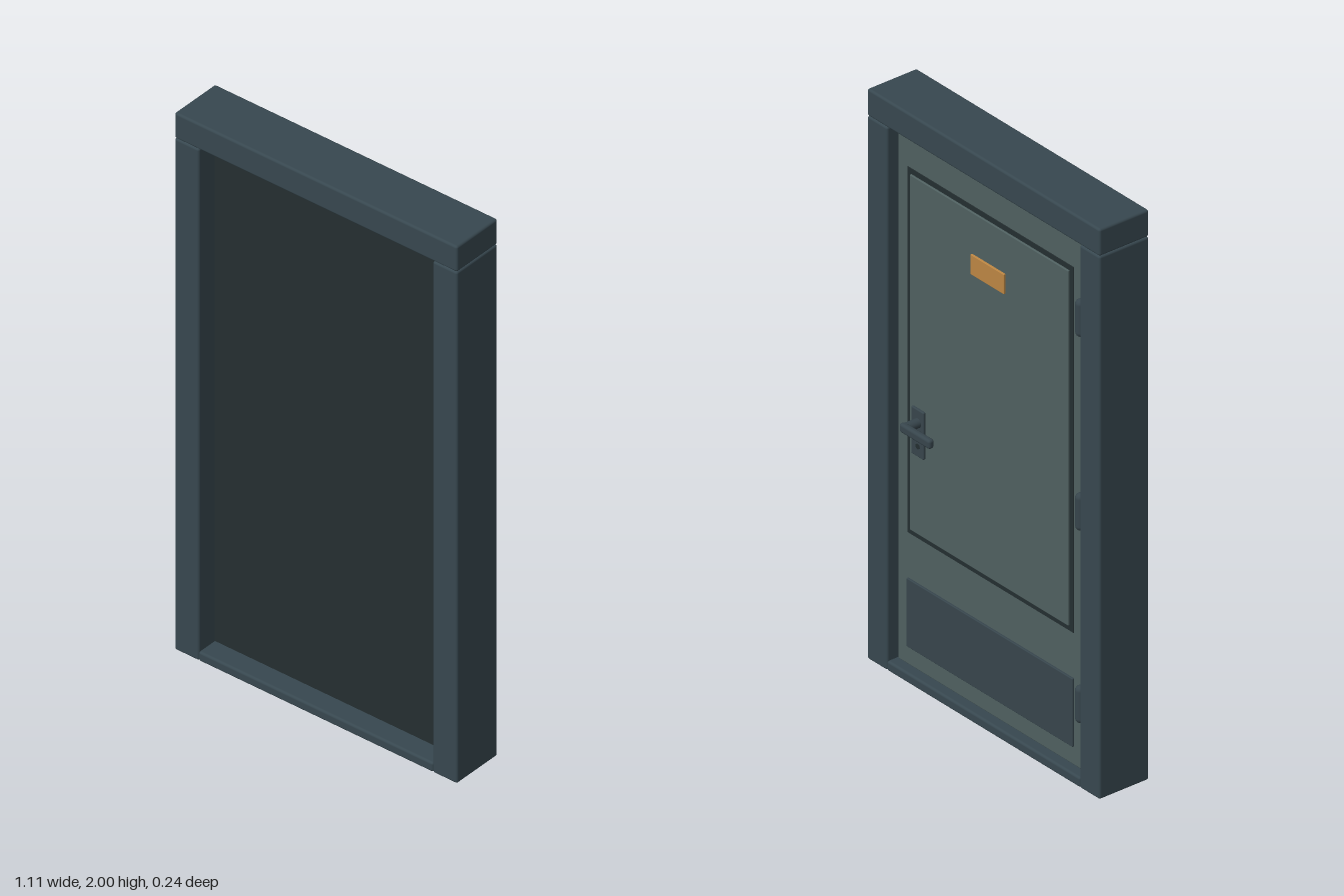
import * as THREE from 'three';
import { RoundedBoxGeometry } from 'three/addons/geometries/RoundedBoxGeometry.js';

const mat = (color) => new THREE.MeshStandardMaterial({ color });

export function createModel() {
  const root = new THREE.Group();
  const frameMat = mat(0x37474f);
  const doorMat = mat(0x4f6060);
  const darkMat = mat(0x242e30);
  const metalMat = mat(0x37454c);
  const brassMat = mat(0xbc8643);

  const add = (name, geometry, material, x = 0, y = 0, z = 0, parent = root) => {
    const mesh = new THREE.Mesh(geometry, material);
    mesh.name = name;
    mesh.position.set(x, y, z);
    parent.add(mesh);
    return mesh;
  };
  // Box given by its extents on each axis, with optional rounded edges
  const block = (name, [x0, x1], [y0, y1], [z0, z1], material, r = 0, parent = root) => {
    const size = [x1 - x0, y1 - y0, z1 - z0];
    const geometry = r ? new RoundedBoxGeometry(...size, 3, r) : new THREE.BoxGeometry(...size);
    return add(name, geometry, material, (x0 + x1) / 2, (y0 + y1) / 2, (z0 + z1) / 2, parent);
  };

  // Frame: two posts, header and sill
  const depth = [-0.075, 0.12];
  block('leftPost', [0.46, 0.556], [0, 1.905], depth, frameMat, 0.008);
  block('rightPost', [-0.556, -0.46], [0, 1.905], depth, frameMat, 0.008);
  block('header', [-0.556, 0.556], [1.905, 2], depth, frameMat, 0.008);
  block('sill', [-0.462, 0.462], [0, 0.035], depth, frameMat, 0.008);

  // Dark backing that closes the opening
  block('backing', [-0.462, 0.462], [0.02, 1.91], [0, 0.045], darkMat);

  // Door leaf, facing -z
  const door = new THREE.Group();
  door.name = 'door';
  root.add(door);
  block('leaf', [-0.445, 0.445], [0.04, 1.892], [-0.044, 0.005], doorMat, 0.004, door);
  block('panelBorder', [-0.397, 0.397], [0.505, 1.787], [-0.047, -0.04], darkMat, 0, door);
  block('raisedPanel', [-0.379, 0.379], [0.523, 1.769], [-0.053, -0.04], doorMat, 0.003, door);
  block('kickPlate', [-0.397, 0.397], [0.105, 0.345], [-0.051, -0.04], metalMat, 0.003, door);
  block('signPlate', [-0.08, 0.08], [1.555, 1.625], [-0.06, -0.05], brassMat, 0.002, door);

  // Hinges along the right edge
  for (const y of [0.275, 0.95, 1.63]) {
    const hinge = new THREE.CapsuleGeometry(0.018, 0.095, 4, 16);
    add('hinge', hinge, metalMat, -0.436, y, -0.05, door);
  }

  // Handle: plate, keyhole, stem and lever
  const handle = new THREE.Group();
  handle.name = 'handle';
  door.add(handle);
  block('handlePlate', [0.303, 0.363], [0.802, 0.968], [-0.061, -0.05], metalMat, 0.004, handle);
  const disc = (name, radius, length, material, y, z) => {
    const geometry = new THREE.CylinderGeometry(radius, radius, length, 20).rotateX(Math.PI / 2);
    add(name, geometry, material, 0.33, y, z, handle);
  };
  disc('keyhole', 0.009, 0.004, darkMat, 0.84, -0.061);
  disc('stem', 0.016, 0.055, metalMat, 0.922, -0.083);
  block('lever', [0.2, 0.346], [0.906, 0.938], [-0.123, -0.101], metalMat, 0.009, handle);

  return root;
}
